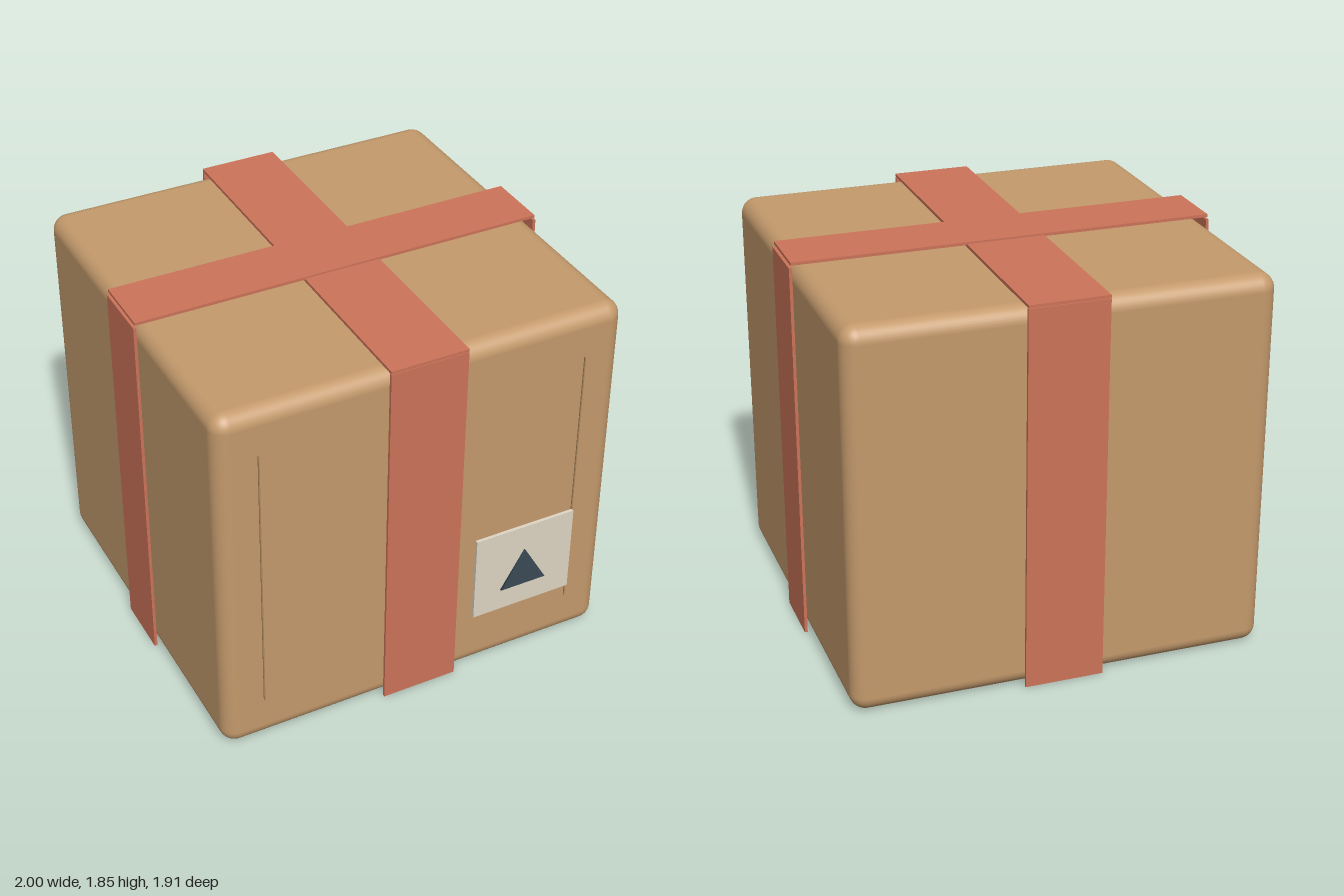
import * as THREE from 'three';
import { RoundedBoxGeometry } from 'three/addons/geometries/RoundedBoxGeometry.js';

export function createModel() {
  const model = new THREE.Group();
  model.name = 'parcel';
  const paint = (color) => new THREE.MeshStandardMaterial({ color });
  const cardboard = paint(0xc49a6c);
  const fold = paint(0xa88459);
  const tape = paint(0xcc7359);
  const paper = paint(0xded6c4);
  const ink = paint(0x3a4a56);

  const add = (name, geometry, material, x, y, z) => {
    const mesh = new THREE.Mesh(geometry, material);
    mesh.name = name;
    mesh.position.set(x, y, z);
    model.add(mesh);
    return mesh;
  };
  const box = (name, w, h, d, material, x, y, z) =>
    add(name, new THREE.BoxGeometry(w, h, d), material, x, y, z);

  const cz = -0.008; // the label pushes the box slightly back
  const height = 1.82;

  // Carton with softly rounded edges
  add('carton', new RoundedBoxGeometry(1.96, height, 1.86, 5, 0.075), cardboard, 0, height / 2, cz);

  // Flap seam under the tape, and upright creases on the front
  box('topSeam', 1.76, 0.008, 0.012, fold, 0, 1.823, cz);
  for (const s of [-1, 1]) {
    box('frontCrease', 0.006, 1.37, 0.008, fold, s * 0.787, 0.915, 0.924);
  }

  // Tape over the top, the wide strip first and the cross strip above it
  box('topTapeLong', 0.37, 0.014, 1.9, tape, 0, 1.83, cz);
  box('topTapeCross', 1.985, 0.014, 0.3, tape, 0, 1.839, cz);

  // Tape down the four walls
  for (const s of [-1, 1]) {
    box('wallTape', 0.37, height, 0.014, tape, 0, height / 2, cz + s * 0.943);
    box('sideTape', 0.014, height, 0.3, tape, s * 0.993, height / 2, cz);
  }

  // Shipping label with a triangular mark
  box('label', 0.51, 0.45, 0.016, paper, 0.53, 0.53, 0.937);
  const mark = add('labelMark', new THREE.CylinderGeometry(0.136, 0.136, 0.008, 3), ink, 0.528, 0.493, 0.953);
  mark.rotation.set(Math.PI / 2, Math.PI, 0);

  return model;
}
